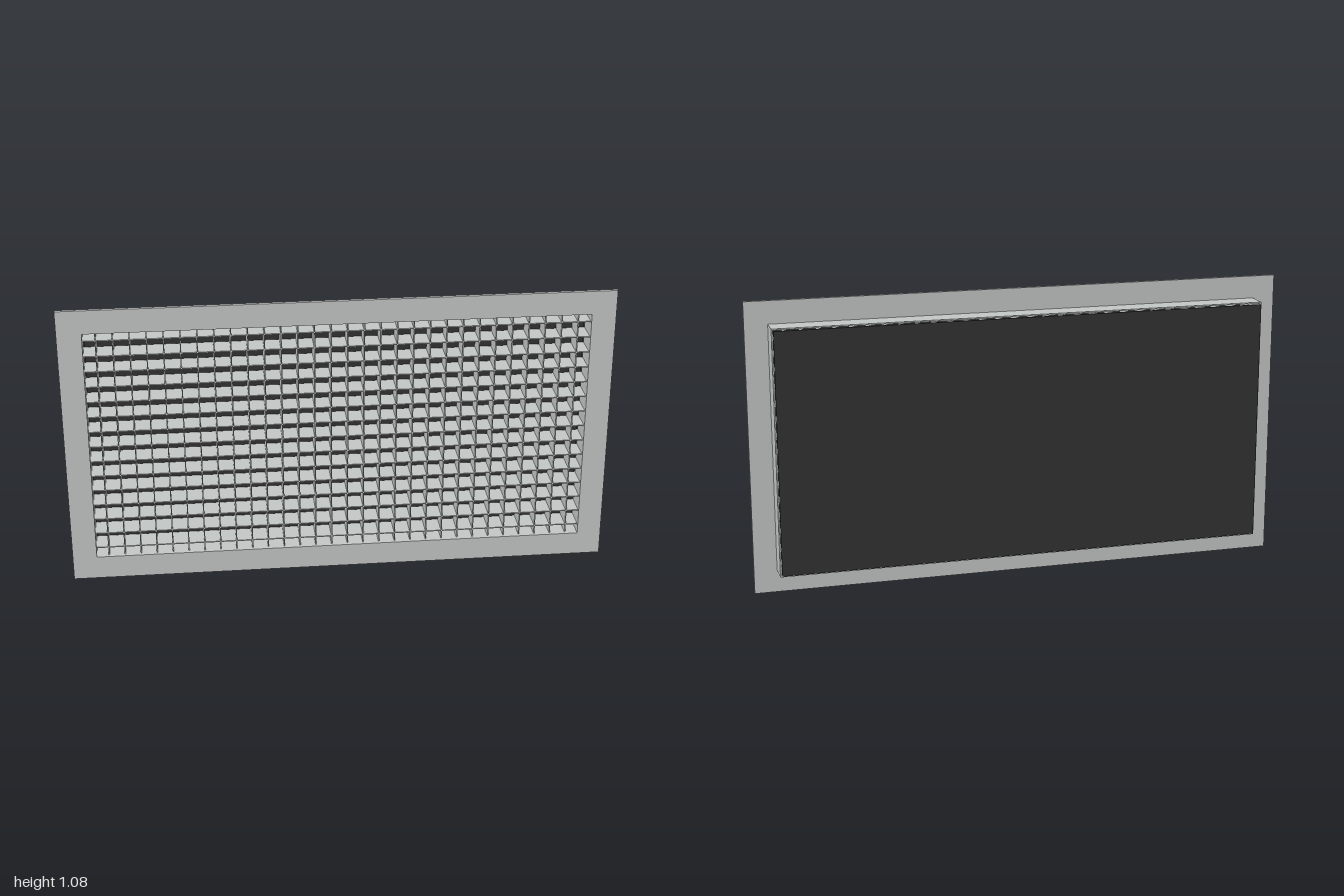
import * as THREE from 'three';

const CY = 0.54; // height of the grille centre

// Rectangular ring in the xy plane, extruded from z0 to z1
function ring(outerW, outerH, innerW, innerH, z0, z1) {
  const corners = (w, h) => [[-w, -h], [w, -h], [w, h], [-w, h]].map(([x, y]) => new THREE.Vector2(x / 2, y / 2));
  const shape = new THREE.Shape(corners(outerW, outerH));
  shape.holes.push(new THREE.Path(corners(innerW, innerH).reverse()));
  const geometry = new THREE.ExtrudeGeometry(shape, { depth: z1 - z0, bevelEnabled: false });
  return geometry.translate(0, CY, z0);
}

export function createModel() {
  const metal = new THREE.MeshStandardMaterial({ color: 0xc4c8c6 });
  metal.name = 'light grey metal';
  const dark = new THREE.MeshStandardMaterial({ color: 0x333333 });
  dark.name = 'dark filter';

  const group = new THREE.Group();
  group.name = 'eggCrateGrille';
  const add = (name, geometry, material, parent = group) => {
    const mesh = new THREE.Mesh(geometry, material);
    mesh.name = name;
    parent.add(mesh);
    return mesh;
  };

  const openW = 1.822, openH = 0.902;
  const back = -0.043, front = 0.043, depth = front - back;

  // Flat face flange and the collar behind it
  add('faceFrame', ring(2, 1.08, openW, openH, front, 0.056), metal);
  add('collar', ring(openW + 0.01, openH + 0.01, openW, openH, back, front), metal);

  // Crossing slats, with half cells around the border
  const core = new THREE.Group();
  core.name = 'gridCore';
  group.add(core);
  const pitch = 0.0597, slat = 0.004;
  const columns = 30, rows = 15;
  const upright = new THREE.BoxGeometry(slat, openH, depth);
  const level = new THREE.BoxGeometry(openW, slat, depth);
  for (let i = 0; i < columns; i++) {
    add('verticalSlat', upright, metal, core).position.set((i - (columns - 1) / 2) * pitch, CY, 0);
  }
  for (let j = 0; j < rows; j++) {
    add('horizontalSlat', level, metal, core).position.set(0, CY + (j - (rows - 1) / 2) * pitch, 0);
  }

  // Dark sheet floating just behind the collar
  add('filterSheet', new THREE.BoxGeometry(1.82, 0.898, 0.006), dark).position.set(0, CY, -0.052);

  return group;
}
